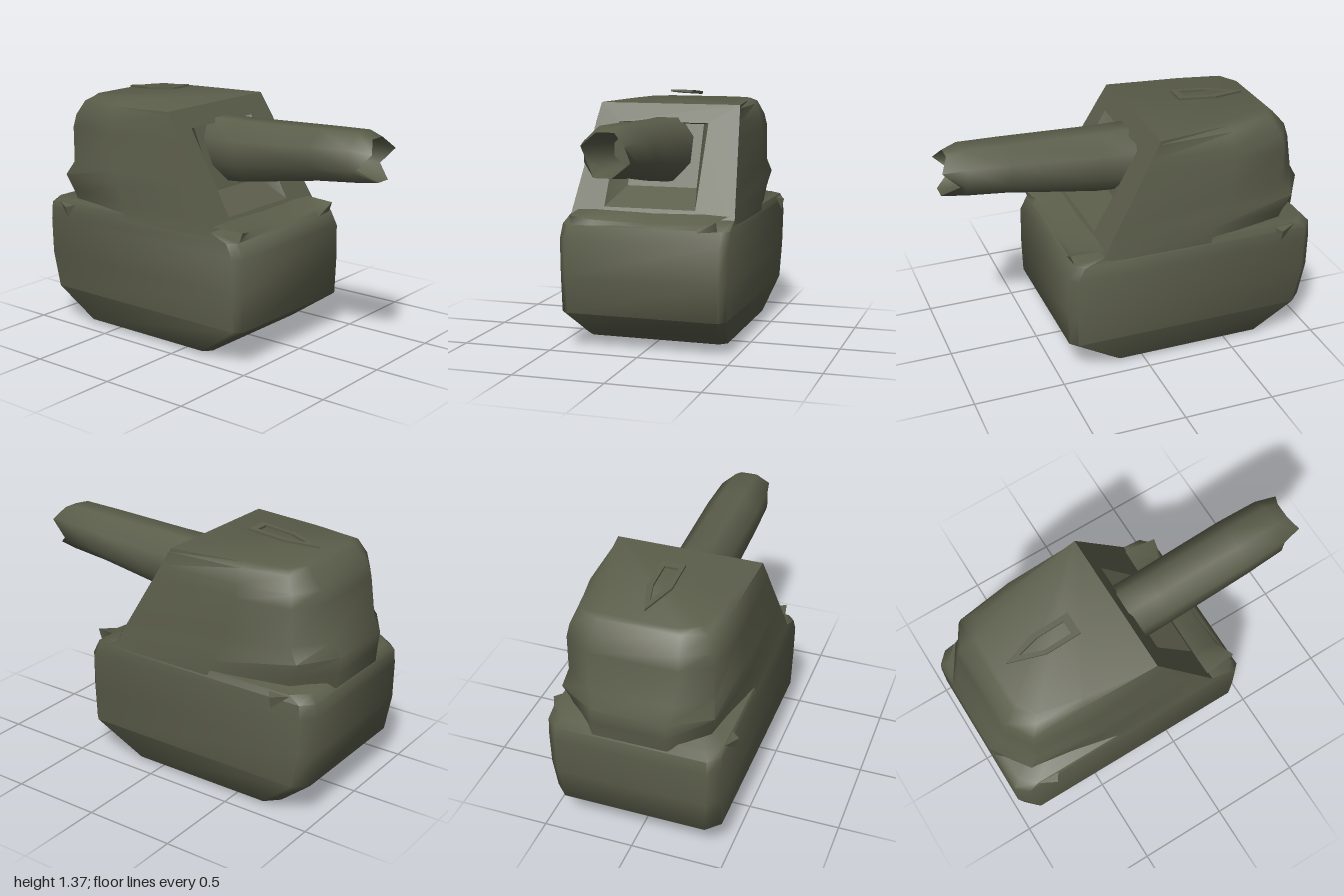
import * as THREE from 'three';
import { toCreasedNormals } from 'three/addons/utils/BufferGeometryUtils.js';

const olive = new THREE.MeshStandardMaterial({ color: 0x5c5e4b, side: THREE.DoubleSide });
olive.name = 'olive drab';

function add(group, name, geometry) {
  const mesh = new THREE.Mesh(geometry, olive);
  mesh.name = name;
  group.add(mesh);
  return mesh;
}

// Joins rings of [x, y, z] points, each counter-clockwise about the loft direction.
function loft(rings, { closed = true, capStart = false, capEnd = false, crease = 1.0 } = {}) {
  const n = rings[0].length, last = (rings.length - 1) * n, index = [];
  for (let r = 0; r < rings.length - 1; r++) {
    for (let j = 0; j < (closed ? n : n - 1); j++) {
      const a = r * n + j, b = r * n + (j + 1) % n;
      index.push(a, b, b + n, a, b + n, a + n);
    }
  }
  for (let j = 1; j < n - 1; j++) {
    if (capStart) index.push(0, j + 1, j);
    if (capEnd) index.push(last, last + j, last + j + 1);
  }
  const g = new THREE.BufferGeometry();
  g.setAttribute('position', new THREE.Float32BufferAttribute(rings.flat(2), 3));
  g.setIndex(index);
  return toCreasedNormals(g, crease);
}

// Level ring from one half-plan [x, z], front to rear, mirrored to the other side
function mirroredRing(y, half) {
  const right = half.map(([x, z]) => [x, y, z]);
  return [...right, ...right.map(([x, , z]) => [-x, y, z]).reverse()];
}

// Rectangle on the sloping front, counter-clockwise seen from the front
const rect = (x0, x1, y0, z0, y1, z1, xt0 = x0, xt1 = x1) =>
  [[x0, y0, z0], [x1, y0, z0], [xt1, y1, z1], [xt0, y1, z1]];

export function createModel() {
  const model = new THREE.Group();
  model.name = 'assaultGun';

  // Lower hull: [height, half width, front z, rear z, front chamfer, rear chamfer]
  const hull = [
    [0.0, 0.3, 0.08, -0.66, 0.05, 0.06],
    [0.02, 0.405, 0.18, -0.75, 0.04, 0.07],
    [0.2, 0.462, 0.44, -0.955, 0.04, 0.07],
    [0.4, 0.468, 0.445, -0.985, 0.04, 0.06],
    [0.6, 0.473, 0.44, -0.985, 0.04, 0.06],
    [0.68, 0.47, 0.4, -0.98, 0.04, 0.06],
    [0.72, 0.464, 0.26, -0.94, 0.01, 0.08],
  ].map(([y, w, zf, zr, cf, cr]) =>
    mirroredRing(y, [[w - cf, zf], [w, zf - cf], [w, zr + cr], [w - cr, zr]]));
  add(model, 'hull', loft(hull, { capStart: true, capEnd: true }));

  // Casemate with a bulged tail, open at the front where the recessed plate fits
  const casemate = [
    mirroredRing(0.69, [[0.468, 0.266], [0.47, -0.35], [0.37, -0.8], [0.2, -0.978]]),
    mirroredRing(0.77, [[0.458, 0.221], [0.462, -0.36], [0.39, -0.82], [0.2, -0.985]]),
    mirroredRing(0.86, [[0.45, 0.17], [0.452, -0.42], [0.41, -0.86], [0.2, -0.995]]),
    mirroredRing(0.94, [[0.442, 0.124], [0.447, -0.46], [0.39, -0.81], [0.22, -0.945]]),
    mirroredRing(1.14, [[0.422, 0.011], [0.43, -0.5], [0.39, -0.81], [0.24, -0.905]]),
    mirroredRing(1.21, [[0.416, -0.028], [0.42, -0.5], [0.375, -0.8], [0.23, -0.885]]),
    mirroredRing(1.29, [[0.407, -0.074], [0.39, -0.5], [0.34, -0.76], [0.22, -0.815]]),
    mirroredRing(1.31, [[0.405, -0.085], [0.35, -0.5], [0.3, -0.73], [0.2, -0.79]]),
  ];
  add(model, 'casemate', loft(casemate, { closed: false, capEnd: true }));

  // Sloping front plate with the gun recess
  add(model, 'frontPlate', loft([
    rect(-0.468, 0.468, 0.69, 0.266, 1.31, -0.085, -0.405, 0.405),
    rect(-0.28, 0.24, 0.76, 0.226, 1.21, -0.028),
    rect(-0.2, 0.2, 0.86, 0.06, 1.2, -0.08),
  ], { capEnd: true, crease: 0.5 }));

  // Gun barrel: [z, centre y, half width, half height], with a ragged muzzle
  const sides = 8, muzzle = 4;
  const ragged = [0, -0.04, -0.04, 0, -0.09, 0, 0, -0.09];
  const barrel = [
    [-0.08, 1.06, 0.16, 0.19], [0.15, 1.07, 0.16, 0.182], [0.65, 1.12, 0.162, 0.148],
    [0.88, 1.135, 0.152, 0.14], [1.0, 1.13, 0.122, 0.118],
    [0.84, 1.13, 0.1, 0.1], [0.6, 1.12, 0.09, 0.085],
  ].map(([z, cy, w, h], r) => ragged.map((dz, j) => {
    const a = (j + 0.5) / sides * Math.PI * 2;
    return [w * Math.cos(a), cy + h * Math.sin(a), z + (r === muzzle ? dz : 0)];
  }));
  add(model, 'gunBarrel', loft(barrel, { capEnd: true, crease: 1.2 }));

  // Pointed roof hatch frame, tilted down to the rear
  const frame = new THREE.Shape([[-0.07, -0.2], [0.06, -0.2], [0.06, 0.02], [0, 0.2], [-0.07, 0]]
    .map(p => new THREE.Vector2(...p)));
  frame.holes.push(new THREE.Path([[-0.045, -0.16], [-0.045, 0], [0, 0.12], [0.03, 0], [0.03, -0.16]]
    .map(p => new THREE.Vector2(...p))));
  const hatch = add(model, 'roofHatch',
    new THREE.ExtrudeGeometry(frame, { depth: 0.012, bevelEnabled: false }));
  hatch.rotation.x = -Math.PI / 2 - 0.09;
  hatch.position.set(0, 1.343, -0.53);

  // Ragged lip along the front deck
  add(model, 'deckLip', loft([
    [[-0.41, 0.68, 0.4], [-0.3, 0.67, 0.405], [0, 0.675, 0.4], [0.3, 0.67, 0.405], [0.41, 0.68, 0.4]],
    [[-0.41, 0.735, 0.42], [-0.3, 0.71, 0.38], [0, 0.7, 0.36], [0.3, 0.71, 0.38], [0.41, 0.735, 0.42]],
    [[-0.43, 0.74, 0.23], [-0.3, 0.745, 0.23], [0, 0.74, 0.23], [0.3, 0.745, 0.23], [0.43, 0.74, 0.23]],
  ], { closed: false }));

  // Small torn flaps low on each side near the tail
  for (const s of [-1, 1]) {
    const flap = new THREE.BufferGeometry();
    flap.setAttribute('position', new THREE.Float32BufferAttribute([
      s * 0.465, 0.71, -0.86, s * 0.51, 0.7, -0.77, s * 0.468, 0.71, -0.74, s * 0.495, 0.635, -0.77,
    ], 3));
    flap.setIndex([0, 1, 2, 0, 3, 1, 1, 3, 2]);
    add(model, s > 0 ? 'leftFlap' : 'rightFlap', toCreasedNormals(flap, 0.3));
  }
  return model;
}
